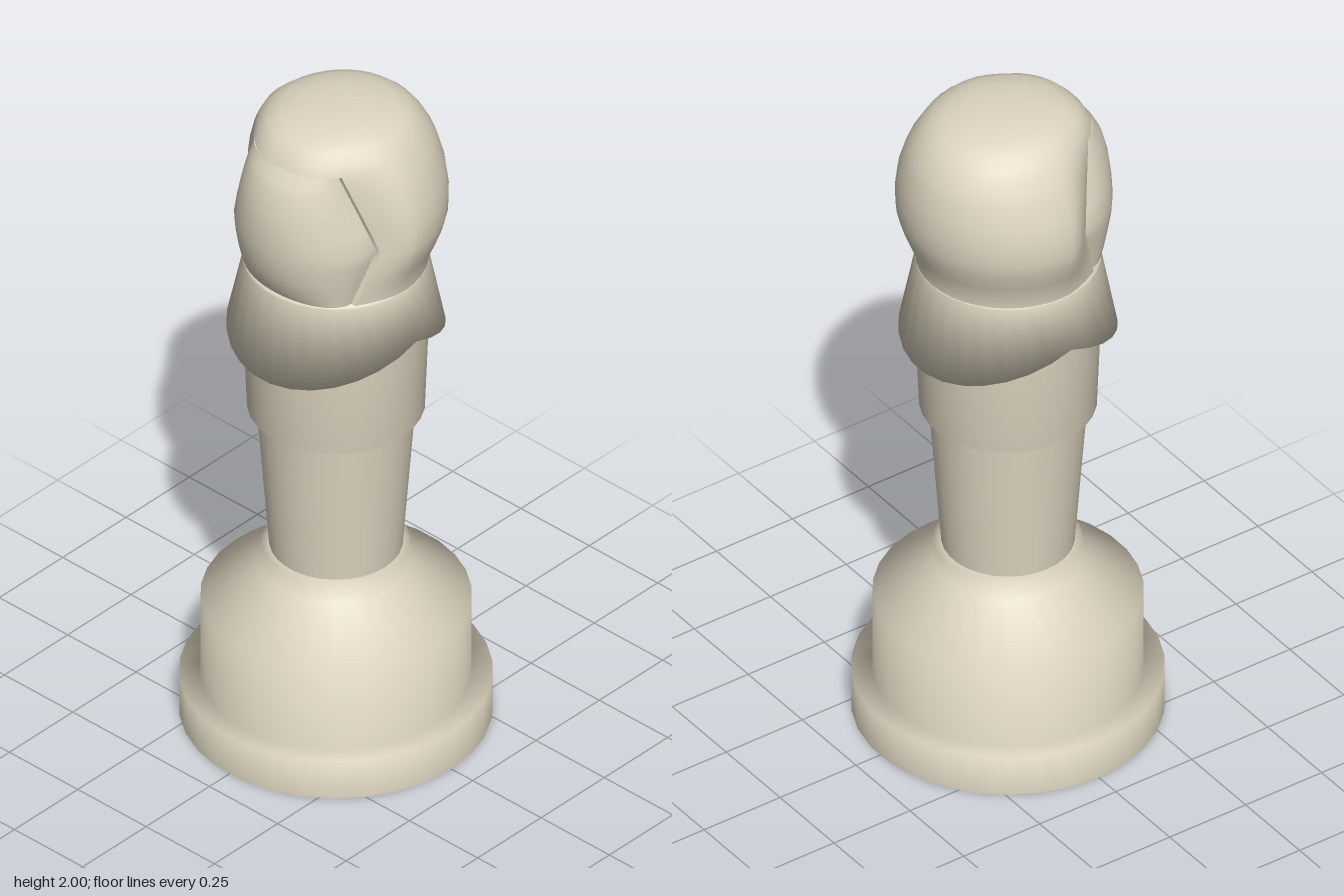
import * as THREE from 'three';
import { toCreasedNormals, mergeGeometries } from 'three/addons/utils/BufferGeometryUtils.js';

const SIDES = 30;

// Smooth turned part with a corner on the x axis; profile runs from bottom to top
function turned(profile) {
  return new THREE.LatheGeometry(profile.map(([r, y]) => new THREE.Vector2(r, y)), SIDES, Math.PI / 2);
}

// Skin between stacked rings of points, ordered anticlockwise from above
function loft(rings) {
  const pos = [];
  for (let i = 0; i < rings.length - 1; i++) {
    for (let j = 0; j < rings[i].length - 1; j++) {
      const a = rings[i][j], b = rings[i][j + 1], c = rings[i + 1][j + 1], d = rings[i + 1][j];
      pos.push(...a, ...b, ...c, ...a, ...c, ...d);
    }
  }
  const g = new THREE.BufferGeometry();
  g.setAttribute('position', new THREE.Float32BufferAttribute(pos, 3));
  return g;
}

// Head levels: y, half width, back depth, front depth, opening edge x and z
const BROW = 1.91;
const levels = [
  [1.5, 0.25, 0.25, 0.24, 0.2, 0.14],
  [1.53, 0.254, 0.253, 0.258, 0.207, 0.13],
  [1.58, 0.274, 0.273, 0.275, 0.22, 0.113],
  [1.63, 0.293, 0.292, 0.286, 0.232, 0.097],
  [1.67, 0.302, 0.302, 0.29, 0.24, 0.085],
  [1.73, 0.3, 0.306, 0.291, 0.22, 0.101],
  [1.79, 0.288, 0.302, 0.285, 0.2, 0.117],
  [1.85, 0.266, 0.289, 0.268, 0.18, 0.134],
  [1.88, 0.253, 0.278, 0.252, 0.17, 0.142],
  [BROW, 0.235, 0.262, 0.228, 0.16, 0.15],
  [1.94, 0.217, 0.24, 0.213, 0.148, 0.148],
  [1.965, 0.19, 0.212, 0.188, 0.13, 0.134],
  [1.983, 0.155, 0.172, 0.152, 0.105, 0.11],
  [1.994, 0.105, 0.115, 0.1, 0.07, 0.073],
  [2.0, 0.05, 0.055, 0.05, 0.034, 0.036],
  [2.0, 0, 0, 0, 0, 0],
];

// Hood section: from one edge of the opening round the back to the other
function hoodRing([y, rx, zb, , ex, ez]) {
  const side = [];
  for (let i = 0; i < 4; i++) {
    const t = i / 4, u = 1 - t;
    side.push([rx * (u * u + 2 * u * t) + ex * t * t, y, 0.8 * u * t * ez + ez * t * t]);
  }
  side.push([ex, y, ez]);
  const back = [];
  for (let i = 1; i < 20; i++) {
    const a = (i / 20) * Math.PI;
    back.push([rx * Math.cos(a), y, -zb * Math.sin(a)]);
  }
  const mirrored = side.map(([x, h, z]) => [-x, h, z]);
  return [...side.reverse(), ...back, ...mirrored];
}

// Front of the crown above the opening
function browRing([y, , , zf, ex, ez]) {
  const pts = [];
  for (let i = 0; i <= 16; i++) {
    const k = i / 8 - 1;
    pts.push([ex * k, y, zf - (zf - ez) * Math.abs(k) ** 2.5]);
  }
  return pts;
}

// Face section, inset from the edge of the hood by a narrow rim
function faceRing([y, , , zf, ex, ez]) {
  const pts = [[-ex, y, ez]], w = ex - 0.015;
  for (let i = 0; i <= 20; i++) {
    const a = Math.PI * (1 - i / 20);
    pts.push([w * Math.cos(a), y, ez + (zf - ez) * Math.sin(a)]);
  }
  pts.push([ex, y, ez]);
  return pts;
}

export function createModel() {
  const model = new THREE.Group();
  const stone = new THREE.MeshStandardMaterial({ color: 0xddd5c0 });
  stone.name = 'beige';
  const padDark = new THREE.MeshStandardMaterial({ color: 0x424242 });
  padDark.name = 'dark grey';
  const padLight = new THREE.MeshStandardMaterial({ color: 0x606060 });
  padLight.name = 'grey';

  function add(name, geometry, material = stone) {
    const mesh = new THREE.Mesh(geometry, material);
    mesh.name = name;
    model.add(mesh);
  }

  // Stepped pedestal with softly shaded steps
  add('pedestal', turned([
    [0.422, 0], [0.422, 0.122], [0.365, 0.122], [0.365, 0.375], [0.2, 0.485], [0.2, 0.55], [0.17, 0.55],
  ]));

  // Pad under the pedestal in four quarters
  for (let i = 0; i < 4; i++) {
    const quarter = new THREE.CircleGeometry(0.422, 8, i * Math.PI / 2, Math.PI / 2);
    quarter.rotateX(Math.PI / 2);
    add('pad' + (i + 1), quarter, i % 2 ? padDark : padLight);
  }

  // Stem and sleeve
  add('stem', turned([[0.18, 0.55], [0.215, 1.015]]));
  add('sleeve', turned([[0.2, 1.01], [0.24, 1.01], [0.255, 1.4]]));

  // Flared collar whose hem rises to a point at each side
  const collar = turned([[0.24, 1.24], [0.295, 1.24], [0.251, 1.494], [0.25, 1.5], [0, 1.5]]);
  const p = collar.attributes.position;
  for (let i = 0; i < p.count; i++) {
    if (p.getY(i) < 1.3) p.setY(i, 1.355 - 0.39 * Math.abs(p.getZ(i)));
  }
  add('collar', toCreasedNormals(collar, Math.PI));

  // Hood with closed crown, open at the front below the brow
  const crown = levels.filter(([y]) => y >= BROW);
  const browLine = browRing(crown[0]);
  const ledge = [browLine.map(([x, y]) => [x, y, 0.1]), browLine];
  add('hood', toCreasedNormals(mergeGeometries([
    loft(levels.map(hoodRing)),
    loft(crown.map(browRing)),
    loft(ledge),
  ]), 0.75));

  // Rounded face set in the opening, closed at the top under the brow
  const face = levels.filter(([y]) => y <= BROW).map(faceRing);
  face.push(face[face.length - 1].map(([x, y]) => [x, y, 0.1]));
  add('face', toCreasedNormals(loft(face), 0.75));

  return model;
}
